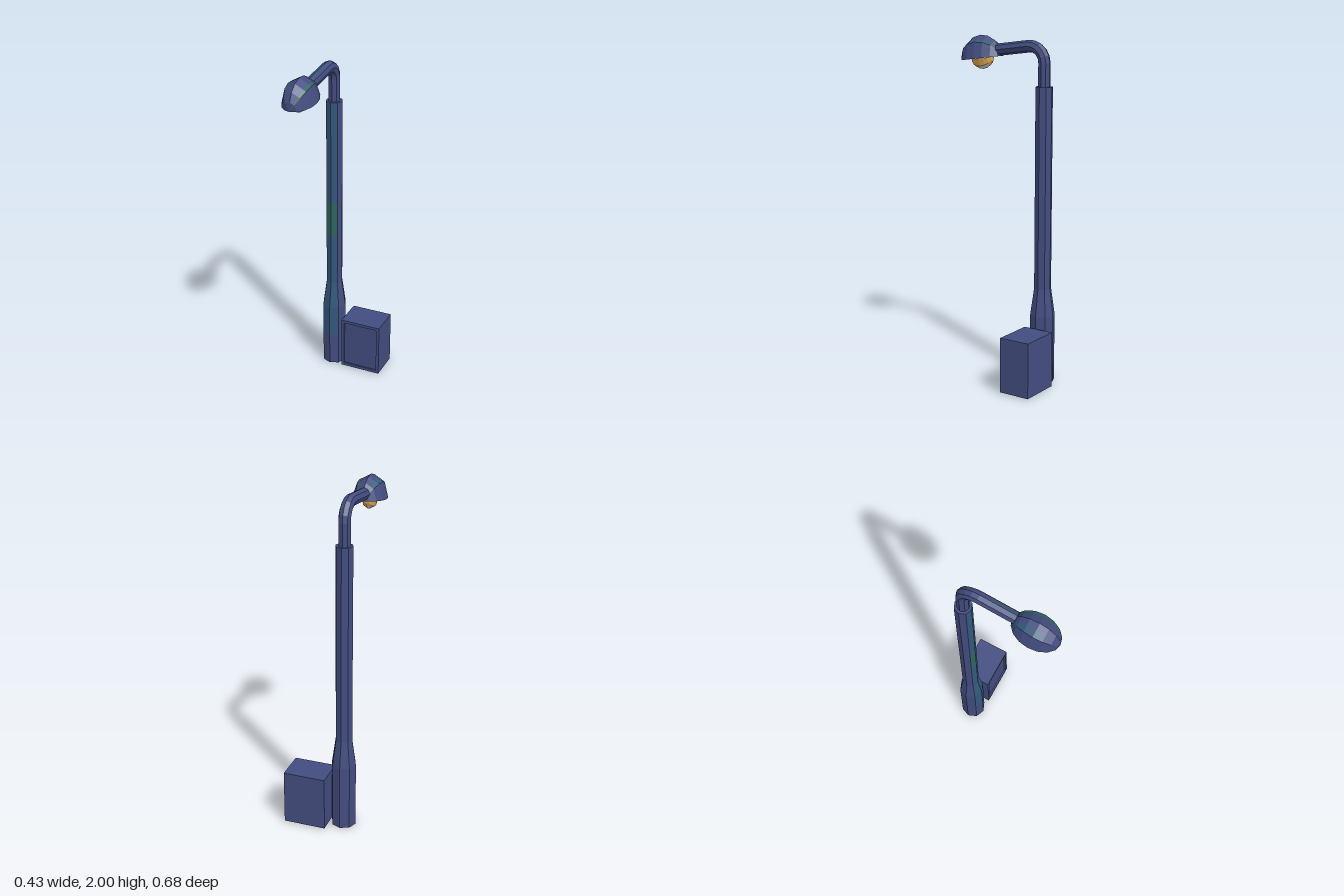
import * as THREE from 'three';

const paint = (name, color) => {
  const m = new THREE.MeshStandardMaterial({ color });
  m.name = name;
  return m;
};
const navy = paint('navy paint', 0x434d80);
const teal = paint('teal paint', 0x34587c);
const green = paint('green patina', 0x2f6460);
const amber = paint('amber glass', 0xe0ac58);
const pale = paint('pale glass', 0xd8d3c8);

// Flat-faced mesh over a grid of points; colourOf(row, col) picks each face's material
function faceted(name, grid, colourOf = () => navy) {
  const byColour = new Map();
  for (let i = 0; i < grid.length - 1; i++) {
    for (let j = 0; j < grid[i].length - 1; j++) {
      const a = grid[i][j], b = grid[i][j + 1], c = grid[i + 1][j + 1], d = grid[i + 1][j];
      const m = colourOf(i, j);
      if (!byColour.has(m)) byColour.set(m, []);
      for (const tri of [[a, b, c], [a, c, d]]) {
        const area = new THREE.Triangle(...tri).getArea();
        if (area > 1e-8) byColour.get(m).push(...tri);
      }
    }
  }
  const geo = new THREE.BufferGeometry();
  const all = [];
  [...byColour.values()].forEach((pts, k) => {
    geo.addGroup(all.length, pts.length, k);
    all.push(...pts);
  });
  geo.setFromPoints(all);
  geo.computeVertexNormals();
  const mesh = new THREE.Mesh(geo, [...byColour.keys()]);
  mesh.name = name;
  return mesh;
}

const mix = (a, b, t) => a.map((v, k) => v + (b[k] - v) * t);
const octagon = Array.from({ length: 9 }, (_, k) => [Math.sin(k * Math.PI / 4), Math.cos(k * Math.PI / 4)]);
const TILT = 0.129;

// Octagonal post with a thick foot
function makePost() {
  const rings = [[0, 0], [0.073, 0], [0.073, 0.2], [0.073, 0.4], [0.05, 0.56],
    [0.05, 0.88], [0.05, 1.1], [0.05, 1.725], [0, 1.725]];
  const grid = rings.map(([r, y]) => octagon.map(([x, z]) => new THREE.Vector3(x * r, y, z * r)));
  return faceted('post', grid, (row, col) => {
    const front = col === 0 || col === 7;
    if (!front || row < 2 || row > 6) return navy;
    return row === 5 ? green : teal;
  });
}

// Bent arm: rings carried along an upright, an elbow and a gently falling reach
function makeArm() {
  const section = octagon.slice();
  section.splice(4, 0, mix(octagon[3], octagon[4], 0.7)); // edge of the patina streak
  const bendR = 0.09, turn = Math.PI / 2 + TILT, path = [[1.7, 0, 0]];
  for (let k = 0; k <= 5; k++) {
    const a = turn * k / 5;
    path.push([1.857 + bendR * Math.sin(a), bendR * (1 - Math.cos(a)), a]);
  }
  const [y0, z0] = path[path.length - 1];
  for (const z of [0.15, 0.312]) path.push([y0 - (z - z0) * Math.tan(TILT), z, turn]);
  const rings = path.map(p => [...p, 0.035]);
  rings.push([...path[path.length - 1], 0]); // end cap
  const grid = rings.map(([y, z, a, r]) => section.map(([u, v]) =>
    new THREE.Vector3(u * r, y - v * r * Math.sin(a), z + v * r * Math.cos(a))));
  return faceted('arm', grid, (row, col) => (row === 7 && col === 4 ? green : navy));
}

// Half ellipsoid whose poles lie on z, swept over the given cross-section
const halfShell = (section, [rx, ry, rz]) => Array.from({ length: 9 }, (_, i) => {
  const lat = -Math.PI / 2 + i * Math.PI / 8, c = Math.cos(lat);
  return section.map(([x, y]) => new THREE.Vector3(x * rx * c, y * ry * c, Math.sin(lat) * rz));
});
const arc = start => Array.from({ length: 5 }, (_, k) =>
  [Math.cos(start + k * Math.PI / 4), Math.sin(start + k * Math.PI / 4)]);

function makeLampHead() {
  const head = new THREE.Group();
  head.name = 'lampHead';
  const [right, rightSeam, crown, leftSeam, left] = arc(0);
  const section = [right, rightSeam, mix(rightSeam, crown, 0.25), crown,
    mix(crown, leftSeam, 0.5), leftSeam, left, right]; // last step closes the underside
  head.add(faceted('shade', halfShell(section, [0.096, 0.133, 0.137]), (row, col) => {
    if (col === 1) return green;
    return col === 4 && row > 0 && row < 5 ? teal : navy;
  }));
  const bulb = faceted('bulb', halfShell(arc(Math.PI), [0.044, 0.062, 0.073]), (row, col) =>
    (row > 1 && row < 6 && (col === 1 || col === 2) ? pale : amber));
  bulb.position.y = -0.001;
  head.add(bulb);
  head.position.set(-0.117, 1.867, 0.2);
  head.rotation.x = TILT;
  return head;
}

// Service cabinet with a shallow recessed door
function makeCabinet() {
  const cabinet = new THREE.Group();
  cabinet.name = 'cabinet';
  const w = 0.25, h = 0.325, d = 0.188, lip = 0.01, edge = 0.018;
  const body = new THREE.Mesh(new THREE.BoxGeometry(w, h, d - lip), navy);
  body.name = 'cabinetBody';
  body.position.z = -lip / 2;
  const rect = (Type, x, y) => new Type([[-x, -y], [x, -y], [x, y], [-x, y]].map(p => new THREE.Vector2(...p)));
  const outline = rect(THREE.Shape, w / 2, h / 2);
  outline.holes.push(rect(THREE.Path, w / 2 - edge, h / 2 - edge));
  const frame = new THREE.Mesh(new THREE.ExtrudeGeometry(outline, { depth: lip, bevelEnabled: false }), navy);
  frame.name = 'doorFrame';
  frame.position.z = d / 2 - lip;
  cabinet.add(body, frame);
  cabinet.position.set(0.087, 0.005 + h / 2, -0.246);
  return cabinet;
}

export function createModel() {
  const model = new THREE.Group();
  model.name = 'streetLamp';
  const pole = new THREE.Group();
  pole.name = 'pole';
  pole.add(makePost(), makeArm());
  pole.position.set(-0.117, 0, -0.223);
  model.add(pole, makeLampHead(), makeCabinet());
  return model;
}
